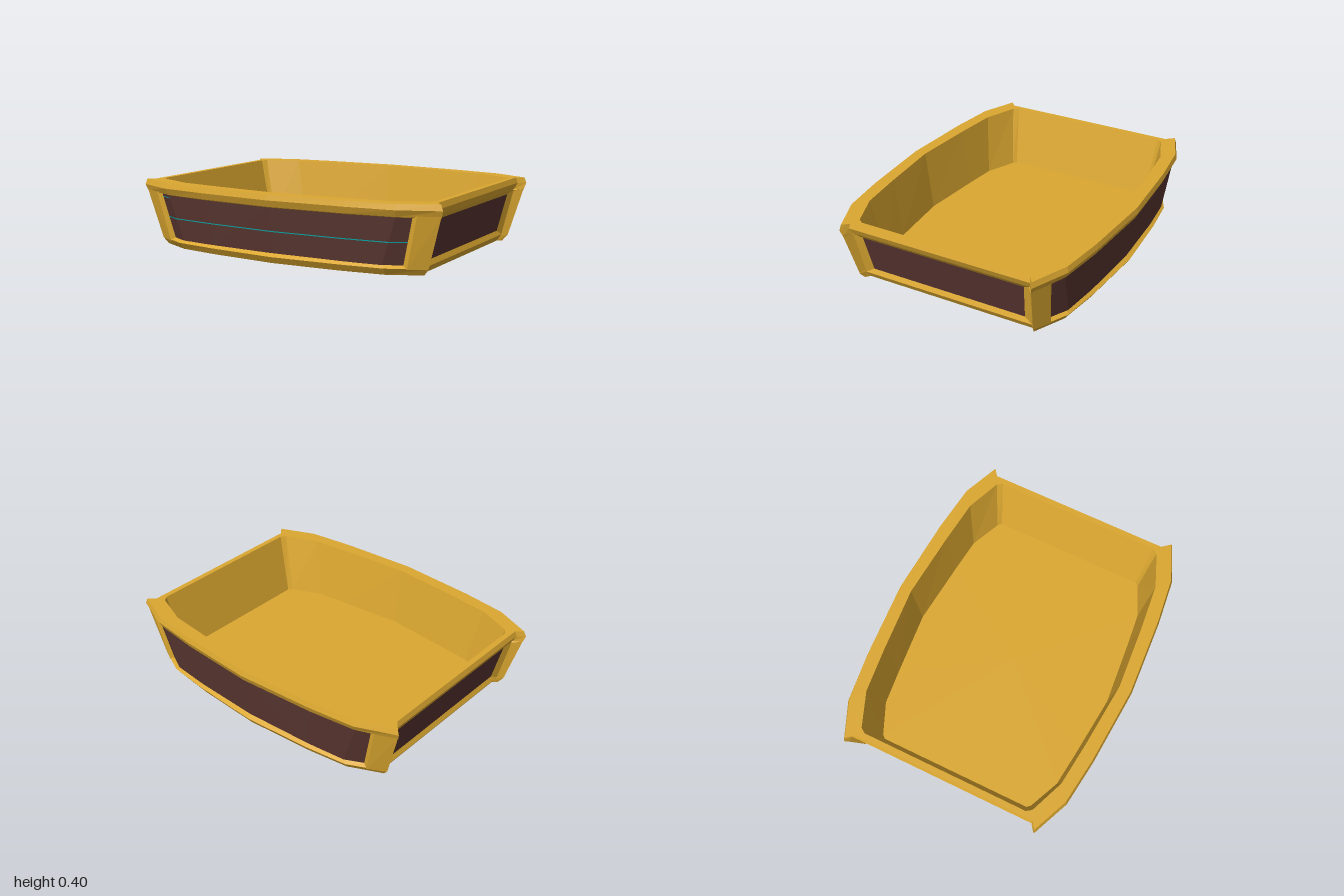
import * as THREE from 'three';

const DS = THREE.DoubleSide;
const gold = new THREE.MeshStandardMaterial({ color: 0xdba730, flatShading: true, side: DS });
gold.name = 'gold';
const brown = new THREE.MeshStandardMaterial({ color: 0x583530, flatShading: true, side: DS });
brown.name = 'darkBrown';
const teal = new THREE.MeshStandardMaterial({ color: 0x08a8a8, flatShading: true, side: DS });
teal.name = 'teal';

function toGeometry(tris) {
  const g = new THREE.BufferGeometry();
  g.setAttribute('position', new THREE.Float32BufferAttribute(tris.flat(), 3));
  g.computeVertexNormals();
  return g;
}

// Skin a series of rings, each with the same number of [x, y, z] points
function loft(rings, closed = true) {
  const tris = [], n = rings[0].length;
  for (let r = 0; r < rings.length - 1; r++) {
    for (let i = 0; i < (closed ? n : n - 1); i++) {
      const j = (i + 1) % n;
      const a = rings[r][i], b = rings[r][j], c = rings[r + 1][j], d = rings[r + 1][i];
      tris.push(a, d, b, b, d, c);
    }
  }
  return toGeometry(tris);
}

// Fill a ring with a fan around its centre
function cap(ring, flip = false) {
  const c = [0, 1, 2].map(k => ring.reduce((s, p) => s + p[k], 0) / ring.length);
  const tris = [];
  ring.forEach((p, i) => {
    const q = ring[(i + 1) % ring.length];
    tris.push(c, ...(flip ? [q, p] : [p, q]));
  });
  return toGeometry(tris);
}

// Full tray outline from a quarter: side edge, corner, then along the front to its middle
function outline(y, quarter) {
  const back = quarter.slice(0, -1).reverse();
  const place = (pts, sx, sz) => pts.map(([x, z]) => [x * sx, y, z * sz]);
  return [
    ...place(quarter, 1, 1), ...place(back, -1, 1),
    ...place(quarter.slice(0), -1, -1), ...place(back, 1, -1),
  ];
}

// Curved front wall line at height y, pushed out by an offset
const wallTop = [[0.84, 0.648], [0.76, 0.688], [0.47, 0.72], [0, 0.747]];
const wallLow = [[0.775, 0.615], [0.67, 0.668], [0.42, 0.695], [0, 0.717]];
function wallLine(y, offset = 0) {
  const t = (y - 0.055) / 0.27;
  const half = wallLow.map(([x, z], i) => [
    x + (wallTop[i][0] - x) * t, y, z + (wallTop[i][1] - z) * t + offset]);
  return [...half, ...half.slice(0, -1).reverse().map(([x, h, z]) => [-x, h, z])];
}

export function createModel() {
  const group = new THREE.Group();
  const add = (name, geometry, material, sx = 1, sz = 1) => {
    const m = new THREE.Mesh(geometry, material);
    m.name = name;
    m.scale.set(sx, 1, sz);
    group.add(m);
  };

  // Base lip and underside
  const bottom = outline(0, [[0.845, 0.54], [0.872, 0.562], [0.68, 0.652], [0.42, 0.687], [0, 0.715]]);
  const lip = outline(0.04, [[0.87, 0.55], [0.905, 0.575], [0.69, 0.68], [0.43, 0.713], [0, 0.742]]);
  const lipIn = outline(0.06, [[0.85, 0.535], [0.87, 0.555], [0.67, 0.66], [0.42, 0.69], [0, 0.714]]);
  add('baseLip', loft([bottom, lip, lipIn]), gold);
  add('underside', cap(bottom), brown);

  // Rim band, rolling over the top and down the inner wall to the floor
  const floor = outline(0.03, [[0.82, 0.485], [0.80, 0.507], [0.61, 0.59], [0.4, 0.613], [0, 0.65]]);
  add('rimAndInnerWall', loft([
    outline(0.32, [[0.915, 0.55], [0.95, 0.585], [0.755, 0.68], [0.47, 0.715], [0, 0.742]]),
    outline(0.328, [[0.936, 0.572], [0.988, 0.604], [0.76, 0.693], [0.475, 0.73], [0, 0.76]]),
    outline(0.367, [[0.955, 0.582], [1, 0.615], [0.77, 0.712], [0.48, 0.747], [0, 0.778]]),
    outline(0.4, [[0.945, 0.577], [0.988, 0.61], [0.765, 0.703], [0.478, 0.739], [0, 0.77]]),
    outline(0.4, [[0.912, 0.52], [0.89, 0.552], [0.68, 0.635], [0.4, 0.665], [0, 0.697]]),
    floor,
  ]), gold);
  add('floor', cap(floor, true), gold);

  // Corner posts
  const section = (y, pts) => pts.map(([x, z]) => [x, y, z]);
  const post = loft([
    section(0.035, [[0.868, 0.55], [0.902, 0.574], [0.80, 0.628], [0.765, 0.612], [0.83, 0.535]]),
    section(0.335, [[0.938, 0.573], [0.988, 0.606], [0.872, 0.66], [0.832, 0.645], [0.905, 0.565]]),
  ]);
  for (const sx of [1, -1]) for (const sz of [1, -1]) add('cornerPost', post, gold, sx, sz);

  // Curved end panels
  const panel = loft([wallLine(0.055), wallLine(0.325)], false);
  add('frontPanel', panel, brown);
  add('backPanel', panel, brown, 1, -1);

  // Hairline trim on the front panel
  const trim = (y, pick) => loft([wallLine(y - 0.003, 0.002), wallLine(y + 0.003, 0.002)].map(pick), false);
  add('frontTrim', trim(0.185, l => l), teal);
  add('frontTrimEnd', trim(0.308, l => l.slice(-2)), teal);

  // Side panels set in bevelled frames
  const rect = (lowX, lowY, lowZ, topX, topY, topZ) => [
    [lowX, lowY, -lowZ], [lowX, lowY, lowZ], [topX, topY, topZ], [topX, topY, -topZ]];
  const frameOuter = rect(0.87, 0.04, 0.553, 0.937, 0.33, 0.575);
  const frameInner = rect(0.858, 0.07, 0.5, 0.912, 0.3, 0.522);
  for (const sx of [1, -1]) {
    add('sideFrame', loft([frameOuter, frameInner]), gold, sx);
    add('sidePanel', cap(frameInner, true), brown, sx);
  }
  return group;
}
